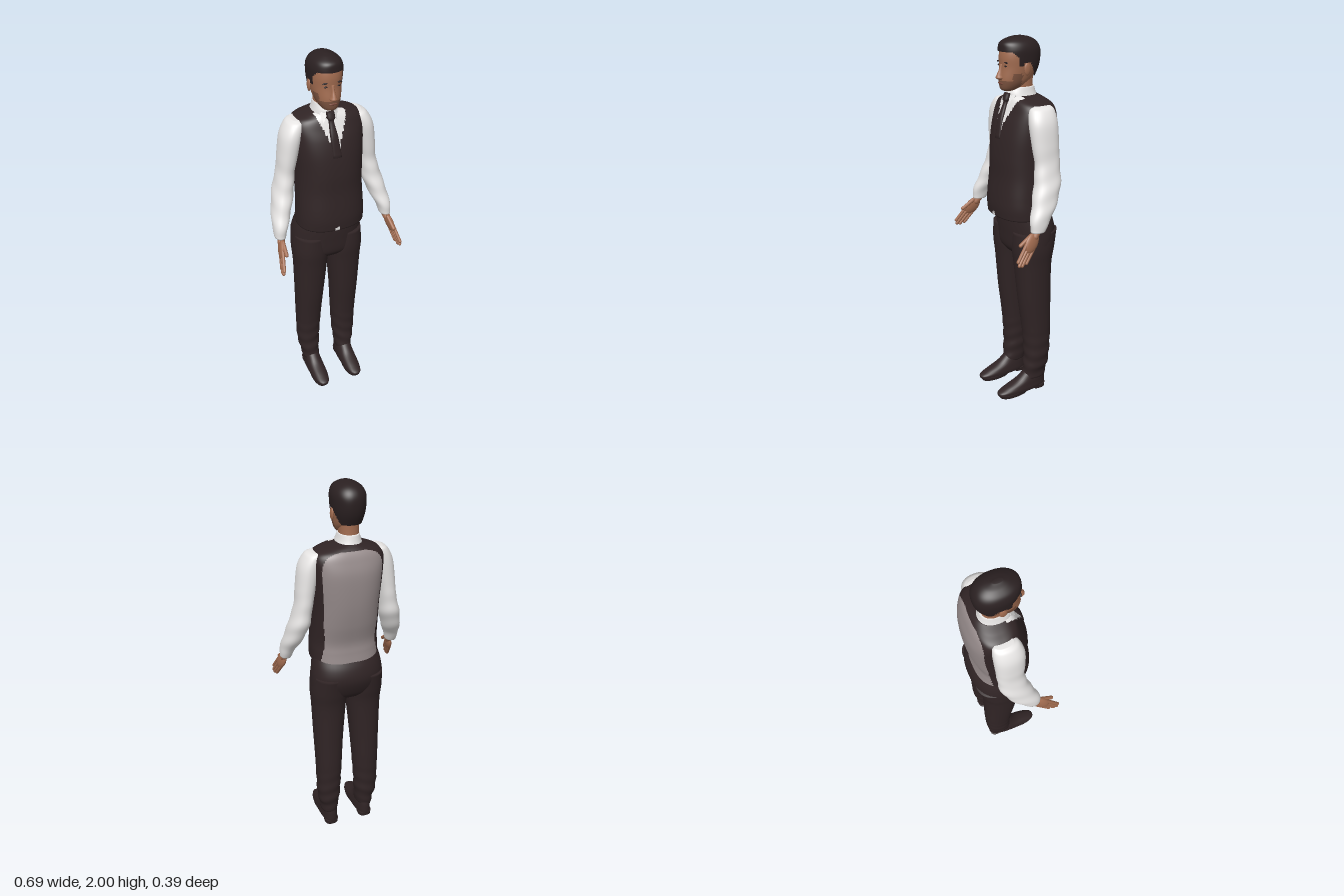
import * as THREE from 'three';

const mat = (name, color, side = THREE.FrontSide) => {
  const m = new THREE.MeshStandardMaterial({ color, side });
  m.name = name;
  return m;
};

// Rows are [y, x0, x1, z0, z1, roundness]: the extents of each horizontal section.
// paint(x, y, z) picks a material per face (-1 leaves a gap); bump(y, angle) adds folds.
function loft(name, rows, materials, { seg = 32, steps = 6, paint = null, bump = null } = {}) {
  const data = rows.map(r => [...r.slice(0, 5), r[5] ?? 2.2]);
  if (data[0][0] > data[data.length - 1][0]) data.reverse();
  const curve = new THREE.CubicInterpolant(data.map((_, i) => i), data.flat(), 6, new Float32Array(6));
  const n = (data.length - 1) * steps;
  const pos = [];
  for (let k = -1; k <= n + 1; k++) {
    const i = Math.min(n, Math.max(0, k));
    const [y, x0, x1, z0, z1, e] = curve.evaluate(i / steps);
    const size = k === i ? 1 : 0;                       // collapsed end rings close the shape
    for (let j = 0; j < seg; j++) {
      const a = j / seg * Math.PI * 2, c = Math.cos(a), s = Math.sin(a);
      const f = size * (1 + (bump ? bump(y, a) : 0));
      pos.push((x0 + x1) / 2 + (x1 - x0) / 2 * f * Math.sign(c) * Math.abs(c) ** (2 / e), y,
        (z0 + z1) / 2 + (z1 - z0) / 2 * f * Math.sign(s) * Math.abs(s) ** (2 / e));
    }
  }
  const list = Array.isArray(materials) ? materials : [materials];
  const faces = list.map(() => []);
  for (let i = 0; i < n + 2; i++) for (let j = 0; j < seg; j++) {
    const a = i * seg + j, b = i * seg + (j + 1) % seg, c = a + seg, d = b + seg;
    const mid = o => (pos[a * 3 + o] + pos[b * 3 + o] + pos[c * 3 + o] + pos[d * 3 + o]) / 4;
    const m = paint ? paint(mid(0), mid(1), mid(2)) : 0;
    if (m >= 0) faces[m].push(a, c, b, b, c, d);
  }
  const geo = new THREE.BufferGeometry();
  geo.setAttribute('position', new THREE.Float32BufferAttribute(pos, 3));
  geo.setIndex(faces.flat());
  let start = 0;
  faces.forEach((f, i) => { geo.addGroup(start, f.length, i); start += f.length; });
  geo.computeVertexNormals();
  const mesh = new THREE.Mesh(geo, list.length > 1 ? list : list[0]);
  mesh.name = name;
  return mesh;
}

const mirrored = (rows, s) => s > 0 ? rows : rows.map(([y, x0, x1, ...r]) => [y, -x1, -x0, ...r]);

function blob(name, material, p, scale, rotZ = 0) {
  const m = new THREE.Mesh(new THREE.SphereGeometry(1, 20, 14), material);
  m.name = name;
  m.position.set(...p);
  m.scale.set(...scale);
  m.rotation.z = rotZ;
  return m;
}

// Flat hand pointing down and forward, thumb on the upper edge
function makeHand(s, skin) {
  const hand = new THREE.Group();
  hand.name = s > 0 ? 'leftHand' : 'rightHand';
  const Y = new THREE.Vector3(-0.046 * s, 0.17, -0.135).normalize();
  const X = new THREE.Vector3(1, 0, 0).addScaledVector(Y, -Y.x).normalize();
  const Z = new THREE.Vector3().crossVectors(X, Y);
  hand.quaternion.setFromRotationMatrix(new THREE.Matrix4().makeBasis(X, Y, Z));
  hand.position.set(0.297 * s, 1.09, 0.05);
  const limb = (name, from, to, r) => {
    const a = new THREE.Vector3(...from), b = new THREE.Vector3(...to);
    const m = new THREE.Mesh(new THREE.CapsuleGeometry(r, a.distanceTo(b), 4, 10), skin);
    m.name = name;
    m.position.copy(a).add(b).multiplyScalar(0.5);
    m.quaternion.setFromUnitVectors(new THREE.Vector3(0, 1, 0), b.sub(a).normalize());
    hand.add(m);
  };
  limb('wrist', [0, 0.02, 0], [0, -0.04, 0], 0.02);
  hand.add(blob('palm', skin, [0, -0.075, 0], [0.016, 0.058, 0.038]));
  [0.178, 0.2, 0.208, 0.195].forEach((len, i) => {
    const z = -0.027 + i * 0.018;
    limb('finger', [0, -0.09, z], [-0.004 * s, -len, z * 0.95], 0.0088);
  });
  limb('thumb', [-0.004 * s, -0.045, 0.022], [-0.014 * s, -0.115, 0.047], 0.01);
  return hand;
}

export function createModel() {
  const man = new THREE.Group();
  man.name = 'man';
  const cloth = mat('dark cloth', 0x302425);
  const lining = mat('grey back cloth', 0x958a8a);
  const shirt = mat('white shirt', 0xf0eeed, THREE.DoubleSide);
  const skin = mat('skin', 0xa26c50);
  const stubble = mat('stubble', 0x7c533f);
  const hair = mat('hair', 0x2a2021, THREE.DoubleSide);
  const metal = mat('buckle metal', 0x8f8c90);
  const lip = mat('lips', 0x7d4a3c);

  // Waistcoat with grey back panel, V neck and split hem
  man.add(loft('waistcoat', [
    [1.085, -0.18, 0.185, -0.168, 0.128, 2.4], [1.14, -0.179, 0.184, -0.16, 0.132, 2.4],
    [1.2, -0.176, 0.18, -0.157, 0.129, 2.4], [1.3, -0.172, 0.177, -0.178, 0.12, 2.4],
    [1.4, -0.172, 0.178, -0.192, 0.117, 2.4], [1.5, -0.178, 0.183, -0.197, 0.105, 2.5],
    [1.58, -0.182, 0.187, -0.194, 0.085, 2.6], [1.64, -0.183, 0.188, -0.178, 0.06, 2.7],
    [1.675, -0.165, 0.17, -0.163, 0.045, 2.7], [1.695, -0.12, 0.122, -0.145, 0.035, 2.5],
    [1.71, -0.075, 0.055, -0.125, 0.025, 2.2]
  ], [cloth, lining, shirt], {
    seg: 128, steps: 10,
    paint: (x, y, z) => {
      if (z > -0.01 && y > 1.51 && Math.abs(x + 0.004) < (y - 1.51) * 0.42) return 2;
      if (z > 0.09 && y < 1.115 && Math.abs(x + 0.01) < (1.115 - y) * 0.6) return 2;
      return y < 1.688 && z < -0.148 + Math.max(0, 1.5 - y) * 0.1 ? 1 : 0;
    }
  }));

  // Collar and tie
  man.add(loft('collar', [
    [1.69, -0.085, 0.06, -0.13, 0.035], [1.72, -0.075, 0.047, -0.12, 0.036],
    [1.752, -0.066, 0.037, -0.112, 0.022]
  ], shirt));
  for (const s of [1, -1]) {
    const flap = new THREE.Mesh(new THREE.ExtrudeGeometry(new THREE.Shape([
      new THREE.Vector2(0.005 * s, 0.02), new THREE.Vector2(0.05 * s, 0.02), new THREE.Vector2(0.042 * s, -0.04)
    ]), { depth: 0.006, bevelEnabled: false }), shirt);
    flap.name = 'collarFlap';
    flap.position.set(-0.014, 1.705, 0.042);
    flap.rotation.set(-0.45, 0.45 * s, 0);
    man.add(flap);
  }
  man.add(loft('tie', [
    [1.5, -0.025, 0.022, 0.09, 0.11, 3], [1.6, -0.03, 0.011, 0.06, 0.09, 3],
    [1.675, -0.026, 0, 0.03, 0.06, 3], [1.69, -0.034, 0.008, 0.02, 0.062, 3],
    [1.722, -0.034, 0.006, 0.01, 0.052, 3]
  ], cloth, { seg: 20 }));

  // Trousers seat and buckle
  man.add(loft('trouserSeat', [
    [0.86, -0.17, 0.17, -0.13, 0.035], [0.9, -0.196, 0.194, -0.165, 0.062],
    [0.98, -0.196, 0.196, -0.195, 0.07], [1.05, -0.188, 0.19, -0.186, 0.073],
    [1.12, -0.172, 0.177, -0.152, 0.07]
  ], cloth, { seg: 48 }));
  const buckle = new THREE.Mesh(new THREE.BoxGeometry(0.04, 0.018, 0.008), metal);
  buckle.name = 'beltBuckle';
  buckle.position.set(-0.005, 1.082, 0.077);
  man.add(buckle);

  for (const s of [1, -1]) {
    const side = s > 0 ? 'left' : 'right';
    // Trouser leg, with folds gathering above the shoe
    man.add(loft(side + 'Leg', mirrored([
      [1.0, 0.01, 0.192, -0.185, 0.065], [0.9, 0, 0.198, -0.168, 0.066],
      [0.8, 0.008, 0.192, -0.152, 0.055], [0.6, 0.026, 0.186, -0.15, 0.037],
      [0.45, 0.036, 0.182, -0.152, 0.018], [0.35, 0.042, 0.18, -0.15, 0.008],
      [0.25, 0.048, 0.178, -0.146, 0.002], [0.18, 0.052, 0.172, -0.14, 0.004],
      [0.14, 0.058, 0.162, -0.132, 0.008], [0.09, 0.06, 0.155, -0.126, 0.015]
    ], s), cloth, {
      steps: 8, bump: (y, a) => y < 0.42 ? 0.035 * Math.sin(y * 75 + 2 * Math.sin(a + s)) * Math.min(1, (0.42 - y) * 5) : 0
    }));
    // Shoe upper, front sole and heel
    man.add(loft(side + 'Shoe', mirrored([
      [0.018, 0.058, 0.152, -0.128, 0.178, 2.5], [0.035, 0.056, 0.154, -0.13, 0.175, 2.5],
      [0.055, 0.058, 0.152, -0.13, 0.13, 2.4], [0.085, 0.062, 0.15, -0.128, 0.055, 2.3],
      [0.13, 0.068, 0.145, -0.12, 0.0, 2.2]
    ], s), cloth));
    man.add(loft(side + 'Sole', mirrored([
      [0, 0.062, 0.148, -0.01, 0.165, 2.3], [0.022, 0.058, 0.152, -0.03, 0.178, 2.3]
    ], s), cloth));
    man.add(loft(side + 'Heel', mirrored([
      [0, 0.067, 0.143, -0.125, -0.045, 2.6], [0.025, 0.064, 0.146, -0.128, -0.035, 2.6]
    ], s), cloth));
    // Sleeve with soft creases
    man.add(loft(side + 'Sleeve', mirrored([
      [1.678, 0.14, 0.185, -0.1, -0.01], [1.66, 0.125, 0.215, -0.115, 0.018],
      [1.6, 0.14, 0.246, -0.12, 0.034], [1.5, 0.163, 0.261, -0.118, 0.03],
      [1.4, 0.183, 0.272, -0.115, 0.022], [1.3, 0.195, 0.3, -0.108, 0.038],
      [1.2, 0.228, 0.323, -0.065, 0.068], [1.13, 0.258, 0.333, -0.015, 0.09],
      [1.08, 0.274, 0.33, 0.014, 0.092]
    ], s), shirt, {
      steps: 8, bump: (y, a) => y < 1.5 ? 0.03 * Math.sin(y * 60 + 2 * Math.sin(a)) * Math.min(1, (1.5 - y) * 6) : 0
    }));
    man.add(makeHand(s, skin));
  }

  // Neck and head
  man.add(loft('neck', [
    [1.7, -0.066, 0.036, -0.108, 0.015], [1.76, -0.064, 0.034, -0.105, 0.012], [1.83, -0.064, 0.034, -0.105, 0.01]
  ], skin));
  man.add(loft('head', [
    [1.735, -0.038, 0.008, 0.01, 0.06], [1.745, -0.055, 0.025, -0.03, 0.073],
    [1.77, -0.071, 0.041, -0.065, 0.078], [1.8, -0.081, 0.051, -0.1, 0.079],
    [1.85, -0.09, 0.06, -0.125, 0.073], [1.9, -0.094, 0.064, -0.134, 0.074],
    [1.94, -0.089, 0.059, -0.13, 0.066], [1.97, -0.07, 0.04, -0.108, 0.045], [1.985, -0.045, 0.015, -0.075, 0.01]
  ], [skin, stubble], {
    seg: 64, paint: (x, y, z) => z > -0.01 && y < 1.79 + (z < 0.04 ? 0.03 : 0) ? 1 : 0
  }));

  // Short hair: low at the nape, cut round the ears, with sideburns
  const hairline = z => z > 0.045 ? 1.93 : z > 0.015 ? 1.9 + (z - 0.015) : z > -0.012 ? 1.862
    : z > -0.05 ? 1.878 : Math.max(1.8, 1.878 + (z + 0.05) * 2);
  man.add(loft('hair', [
    [1.79, -0.081, 0.051, -0.108, 0.07], [1.85, -0.094, 0.064, -0.134, 0.074],
    [1.9, -0.099, 0.069, -0.143, 0.078], [1.94, -0.098, 0.068, -0.14, 0.079],
    [1.97, -0.084, 0.054, -0.122, 0.071], [1.99, -0.056, 0.026, -0.09, 0.035], [2.0, -0.025, -0.005, -0.045, 0.0]
  ], hair, { seg: 80, steps: 10, paint: (x, y, z) => y > hairline(z) ? 0 : -1 }));

  // Facial features
  man.add(loft('nose', [
    [1.792, -0.026, -0.004, 0.06, 0.088], [1.801, -0.034, 0.004, 0.055, 0.102],
    [1.815, -0.029, -0.001, 0.055, 0.098], [1.84, -0.024, -0.006, 0.055, 0.086], [1.868, -0.024, -0.006, 0.055, 0.077]
  ], skin, { seg: 20 }));
  man.add(blob('mouth', lip, [-0.015, 1.774, 0.077], [0.022, 0.005, 0.004]));
  for (const s of [1, -1]) {
    man.add(blob('eye', hair, [-0.015 + s * 0.032, 1.86, 0.066], [0.011, 0.004, 0.004]));
    man.add(blob('eyebrow', hair, [-0.015 + s * 0.034, 1.878, 0.066], [0.018, 0.004, 0.0045], -0.08 * s));
    man.add(blob('ear', skin, [-0.015 + s * 0.08, 1.845, -0.03], [0.008, 0.031, 0.018]));
  }
  return man;
}
